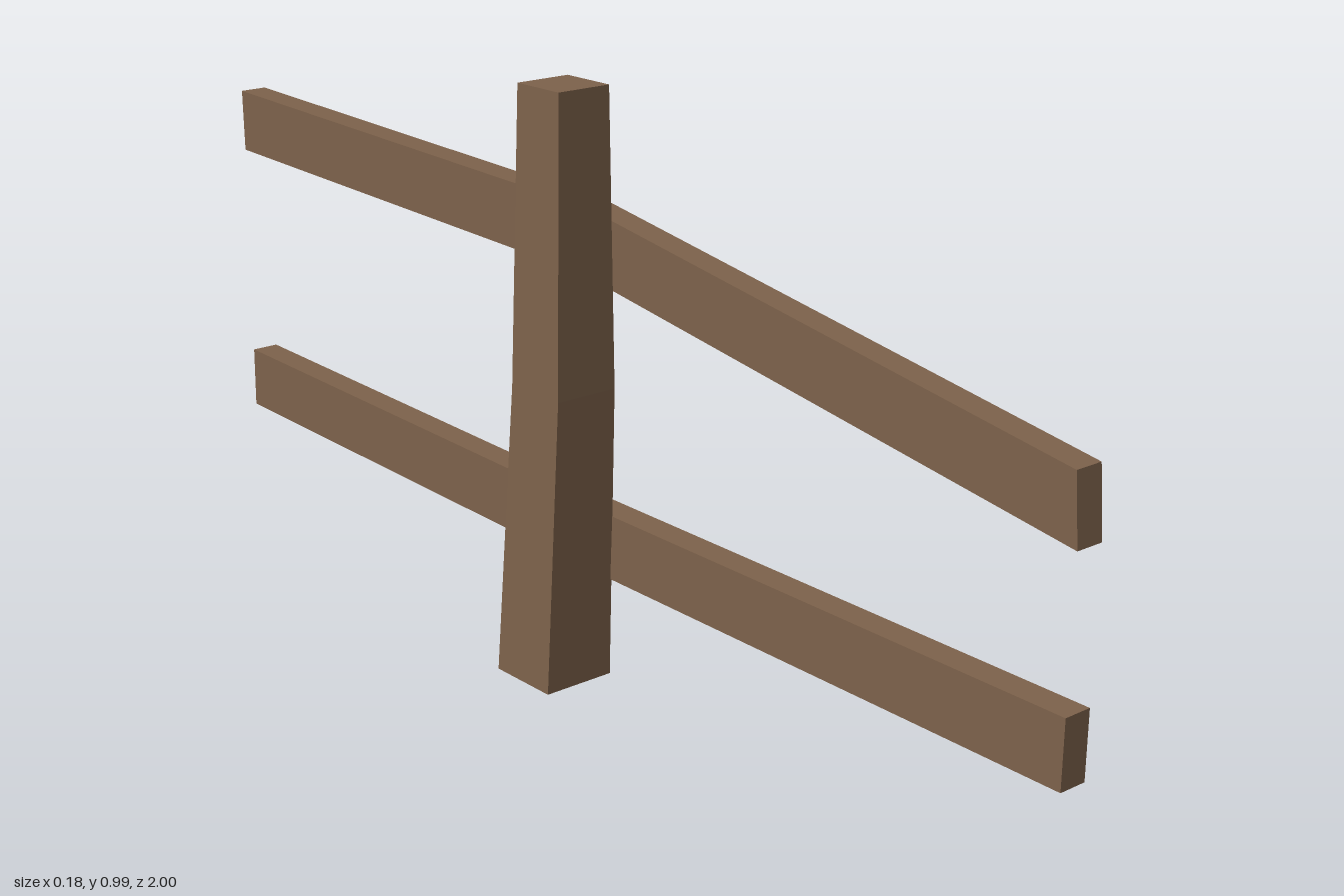
import * as THREE from 'three';

const wood = new THREE.MeshStandardMaterial({ color: 0x7d624b, side: THREE.DoubleSide, flatShading: true });
wood.name = 'brown wood';

// Rail: a bent strip drawn in the (-z, y) plane and extruded along x.
// Corners are [z, y], listed along the underside and back along the top.
function makeRail(name, corners) {
  const shape = new THREE.Shape(corners.map(([z, y]) => new THREE.Vector2(-z, y)));
  const geometry = new THREE.ExtrudeGeometry(shape, { depth: 0.05, bevelEnabled: false });
  geometry.rotateY(Math.PI / 2);
  geometry.translate(0.037, 0, 0);
  const mesh = new THREE.Mesh(geometry, wood);
  mesh.name = name;
  return mesh;
}

// Post: tapered, slightly bent square column with a closed top and open base.
function makePost() {
  const rings = [ // y, left x, right x, back z, front z
    [0, -0.089, 0.042, -0.071, 0.059],
    [0.5, -0.081, 0.034, -0.039, 0.076],
    [0.985, -0.073, 0.026, -0.031, 0.068],
  ];
  const points = [];
  const index = [];
  for (const [y, x0, x1, z0, z1] of rings) {
    points.push(x0, y, z1, x1, y, z1, x1, y, z0, x0, y, z0);
  }
  for (let r = 0; r < rings.length - 1; r++) {
    for (let i = 0; i < 4; i++) {
      const a = r * 4 + i;
      const b = r * 4 + (i + 1) % 4;
      index.push(a, b, b + 4, a, b + 4, a + 4);
    }
  }
  index.push(8, 9, 10, 8, 10, 11); // top cap
  const indexed = new THREE.BufferGeometry();
  indexed.setAttribute('position', new THREE.Float32BufferAttribute(points, 3));
  indexed.setIndex(index);
  const geometry = indexed.toNonIndexed();
  geometry.computeVertexNormals();
  const mesh = new THREE.Mesh(geometry, wood);
  mesh.name = 'post';
  return mesh;
}

export function createModel() {
  const group = new THREE.Group();
  group.name = 'fence section';
  group.add(
    makePost(),
    makeRail('upperRail', [[1, 0.512], [-0.01, 0.669], [-0.996, 0.697], [-1, 0.808], [0, 0.779], [0.99, 0.622]]),
    makeRail('lowerRail', [[1, 0.162], [0, 0.171], [-0.995, 0.195], [-0.995, 0.305], [0, 0.281], [1, 0.273]]),
  );
  return group;
}
